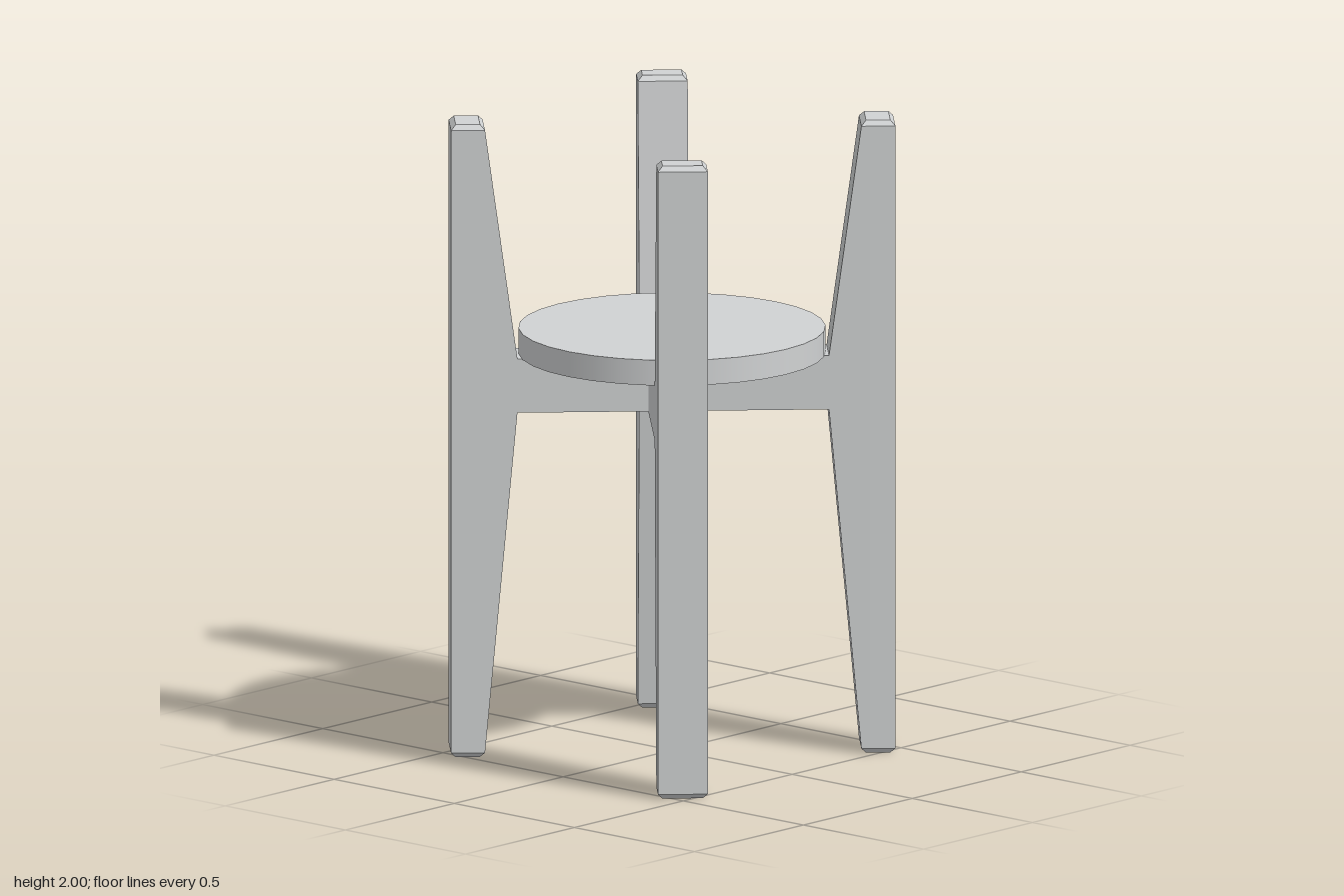
import * as THREE from 'three';

const HALF = 0.077;     // half thickness of legs and cross beams
const INNER = 0.481;    // radius where the beams meet the legs
const BEAM_LOW = 1.09, BEAM_HIGH = 1.26;

// Leg lofted from rectangular sections: [y, inner radius, outer radius, half width]
function legGeometry() {
  const outer = 0.686, tip = 0.581, inset = 0.015;
  const sections = [
    [0, tip + inset, outer - inset, HALF - inset],
    [0.016, tip, outer, HALF],
    [BEAM_LOW, INNER, outer, HALF],
    [BEAM_HIGH, INNER, outer, HALF],
    [1.984, tip, outer, HALF],
    [2, tip + inset, outer - inset, HALF - inset],
  ];
  const rings = sections.map(([y, a, b, w]) => [[a, y, -w], [b, y, -w], [b, y, w], [a, y, w]]);
  const positions = [];
  const quad = (a, b, c, d) => positions.push(...a, ...b, ...c, ...a, ...c, ...d);
  for (let i = 0; i < rings.length - 1; i++) {
    for (let j = 0; j < 4; j++) {
      const k = (j + 1) % 4;
      quad(rings[i][k], rings[i][j], rings[i + 1][j], rings[i + 1][k]);
    }
  }
  const bottom = rings[0], top = rings[rings.length - 1];
  quad(bottom[0], bottom[1], bottom[2], bottom[3]);
  quad(top[0], top[3], top[2], top[1]);
  const geometry = new THREE.BufferGeometry();
  geometry.setAttribute('position', new THREE.Float32BufferAttribute(positions, 3));
  geometry.computeVertexNormals();
  return geometry;
}

// Plus-shaped pair of beams, extruded upwards
function crossGeometry() {
  const points = [];
  for (let i = 0; i < 4; i++) {
    for (const [x, y] of [[HALF, -HALF], [INNER, -HALF], [INNER, HALF]]) {
      points.push(new THREE.Vector2(x, y).rotateAround(new THREE.Vector2(), i * Math.PI / 2));
    }
  }
  const geometry = new THREE.ExtrudeGeometry(new THREE.Shape(points), {
    depth: BEAM_HIGH - BEAM_LOW, bevelEnabled: false,
  });
  return geometry.rotateX(-Math.PI / 2);
}

export function createModel() {
  const group = new THREE.Group();
  group.name = 'plantStand';
  const paint = new THREE.MeshStandardMaterial({ color: 0xd0d2d3 });
  paint.name = 'light grey';

  const add = (name, geometry, y, turn) => {
    const mesh = new THREE.Mesh(geometry, paint);
    mesh.name = name;
    mesh.position.y = y;
    mesh.rotation.y = turn;
    group.add(mesh);
  };

  // Four upright legs on the diagonals
  const leg = legGeometry();
  ['backLeftLeg', 'backRightLeg', 'frontRightLeg', 'frontLeftLeg'].forEach((name, i) => {
    add(name, leg, 0, Math.PI / 4 + i * Math.PI / 2);
  });

  // Cross beams and the round shelf resting on them
  add('crossBeams', crossGeometry(), BEAM_LOW, Math.PI / 4);
  add('roundShelf', new THREE.CylinderGeometry(0.474, 0.474, 0.08, 32), BEAM_HIGH + 0.04, 0);

  return group;
}
